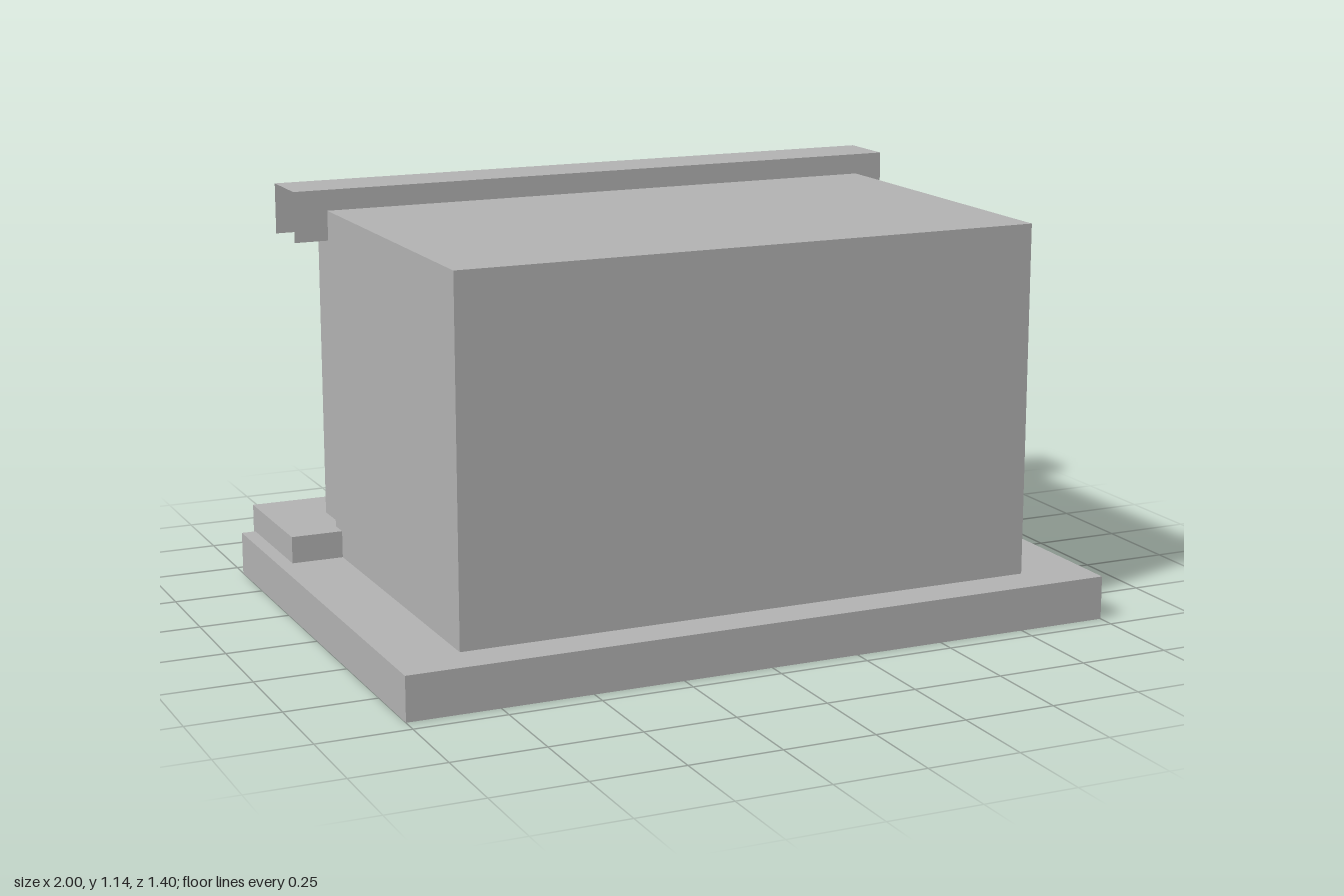
import * as THREE from 'three';

const stone = new THREE.MeshStandardMaterial({ color: 0xb3b3b3, side: THREE.DoubleSide });
stone.name = 'plain grey';

// Box from its limits; open lists the sides left out (0 +x, 1 -x, 2 +y, 3 -y, 4 +z, 5 -z),
// extra adds triangles made from the box's own corners
function box(name, [x0, x1], [y0, y1], [z0, z1], open = [], extra = []) {
  const geo = new THREE.BoxGeometry(x1 - x0, y1 - y0, z1 - z0);
  const kept = Array.from(geo.index.array).filter((_, i) => !open.includes(Math.floor(i / 6)));
  geo.setIndex([...kept, ...extra]);
  geo.clearGroups();
  geo.translate((x0 + x1) / 2, (y0 + y1) / 2, (z0 + z1) / 2);
  const mesh = new THREE.Mesh(geo, stone);
  mesh.name = name;
  return mesh;
}

export function createModel() {
  const model = new THREE.Group();
  model.name = 'colonnadeBuilding';

  // Hollow base slab, open underneath
  model.add(box('base', [-1, 1], [0, 0.12], [-0.69, 0.7], [3]));

  // Main block
  model.add(box('mainBlock', [-0.815, 0.815], [0.12, 1.085], [-0.39, 0.585], [3]));

  // Step under the row of posts, overhanging the base slightly
  model.add(box('step', [-0.96, 0.96], [0.115, 0.195], [-0.705, -0.335], [3]));

  // Beam over the posts: a channel open below and at both ends
  model.add(box('beam', [-0.905, 0.905], [1.0, 1.14], [-0.575, -0.405], [0, 1, 3]));

  // Square posts; all but the last have only the upper back half of each side
  const posts = new THREE.Group();
  posts.name = 'posts';
  for (const x of [0.74, 0.25, -0.25, -0.74]) {
    const whole = x === -0.74;
    posts.add(box('post', [x - 0.055, x + 0.055], [0.195, 1.133], [-0.54, -0.43],
      whole ? [] : [0, 1], whole ? [] : [0, 3, 1, 4, 6, 5]));
  }
  model.add(posts);

  return model;
}
